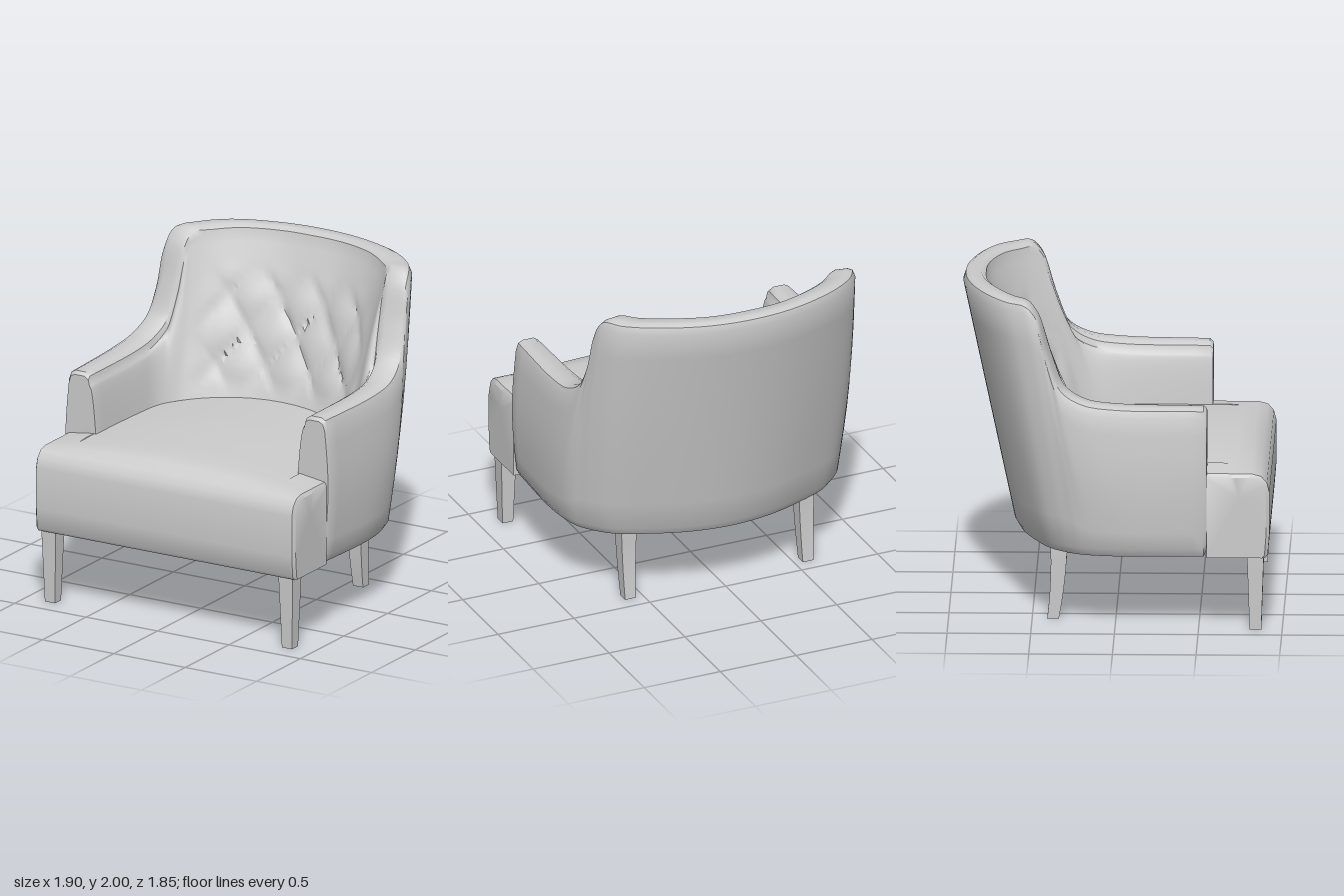
import * as THREE from 'three';
import { toCreasedNormals } from 'three/addons/utils/BufferGeometryUtils.js';

const material = new THREE.MeshStandardMaterial({ color: 0xcccccc, side: THREE.DoubleSide });
const { lerp, smoothstep, clamp } = THREE.MathUtils;

// Skin a list of closed rings of [x, y, z] points and cap both ends
function loft(rings, crease) {
  const n = rings[0].length, pos = rings.flat(2), index = [];
  for (let i = 0; i < rings.length - 1; i++) {
    for (let j = 0; j < n; j++) {
      const a = i * n + j, d = i * n + (j + 1) % n;
      index.push(a, a + n, d, d, a + n, d + n);
    }
  }
  [0, rings.length - 1].forEach((r, end) => {
    const c = pos.length / 3;
    pos.push(...centre(rings[r]));
    for (let j = 0; j < n; j++) {
      const a = r * n + j, b = r * n + (j + 1) % n;
      index.push(c, end ? b : a, end ? a : b);
    }
  });
  const g = new THREE.BufferGeometry();
  g.setAttribute('position', new THREE.Float32BufferAttribute(pos, 3));
  g.setIndex(index);
  return toCreasedNormals(g, crease);
}

function centre(ring) {
  return [0, 1, 2].map(k => ring.reduce((s, p) => s + p[k], 0) / ring.length);
}

// Smooth rail through half-plan points, mirrored to the other side
function rail(points) {
  const half = points.map(([x, z, y = 0]) => new THREE.Vector3(x, y, z));
  const other = half.slice(0, -1).reverse().map(p => new THREE.Vector3(-p.x, p.y, p.z));
  return new THREE.CatmullRomCurve3([...half, ...other]);
}

// Diamond tufting on the inside of the backrest
function tuft(x, y) {
  const a = x / 0.3 + (y - 1.4) / 0.4, b = x / 0.3 - (y - 1.4) / 0.4;
  const pillow = Math.sqrt(Math.abs(Math.sin(Math.PI * a) * Math.sin(Math.PI * b)));
  const mask = smoothstep(y, 1.05, 1.2) * (1 - smoothstep(y, 1.6, 1.8)) *
    (1 - smoothstep(Math.abs(x), 0.42, 0.62));
  return 0.045 * (pillow - 0.6) * mask;
}

// One wraparound shell forms the arms, wings and back
function shellGeometry() {
  // Stations run from the arm front to the middle of the back: [x, z, height]
  const outerTop = rail([[0.905, 0.53, 1.36], [0.925, 0, 1.37], [0.92, -0.2, 1.4], [0.9, -0.33, 1.48],
    [0.87, -0.41, 1.68], [0.855, -0.47, 1.9], [0.835, -0.54, 1.98], [0.77, -0.65, 1.99],
    [0.6, -0.78, 2], [0.3, -0.89, 2], [0, -0.925, 2]]);
  const outerBase = rail([[0.9, 0.53], [0.92, 0.15], [0.915, 0], [0.9, -0.12], [0.88, -0.2],
    [0.85, -0.26], [0.81, -0.32], [0.73, -0.4], [0.55, -0.49], [0.28, -0.585], [0, -0.62]]);
  const innerTop = rail([[0.75, 0.53], [0.745, 0], [0.74, -0.18], [0.72, -0.3], [0.7, -0.38],
    [0.69, -0.45], [0.67, -0.51], [0.58, -0.6], [0.44, -0.69], [0.22, -0.765], [0, -0.78]]);
  const innerBase = rail([[0.7, 0.53], [0.68, 0.1], [0.665, -0.05], [0.64, -0.12], [0.61, -0.17],
    [0.57, -0.21], [0.5, -0.25], [0.42, -0.3], [0.3, -0.345], [0.15, -0.375], [0, -0.385]]);
  const rings = [], samples = 120;
  for (let i = 0; i <= samples; i++) {
    const [ot, ob, it, ib] = [outerTop, outerBase, innerTop, innerBase].map(c => c.getPoint(i / samples));
    const h = ot.y, ring = [];
    const add = (p, q, f, y, dx = 0, dz = 0) =>
      ring.push([lerp(p.x, q.x, f) + dx, y, lerp(p.z, q.z, f) + dz]);
    add(ob, ib, 0.13, 0.45);
    // Outer wall with a slight belly at the sides
    for (let k = 0; k <= 8; k++) {
      const s = k / 8;
      add(ob, ot, s, lerp(0.5, h - 0.06, s), 0.028 * Math.sin(Math.PI * s) * clamp(ob.x * 1.5, -1, 1));
    }
    // Rounded rim
    add(ot, it, 0.1, h - 0.015);
    add(ot, it, 0.28, h);
    add(ot, it, 0.75, h);
    add(ot, it, 0.94, h - 0.02);
    // Inner wall, padded near the arms and sloping at the back
    const power = lerp(0.5, 1, clamp((h - 1.36) / 0.64, 0, 1));
    for (let k = 0; k <= 26; k++) {
      const s = k / 26, y = lerp(h - 0.06, 0.95, s), f = Math.pow(s, power);
      add(it, ib, f, y, 0, h > 1.9 ? tuft(lerp(it.x, ib.x, f), y) : 0);
    }
    add(ob, ib, 0.45, 0.45);
    rings.push(ring);
  }
  // Softened arm fronts
  const soften = ring => {
    const c = centre(ring);
    return ring.map(p => [lerp(p[0], c[0], 0.07), lerp(p[1], c[1], 0.07), p[2] + 0.02]);
  };
  rings.unshift(soften(rings[0]));
  rings.push(soften(rings[rings.length - 1]));
  return loft(rings, 0.7);
}

// T-shaped seat: wide in front of the arms, round at the back
function seatGeometry() {
  const xs = [0, 0.1, 0.2, 0.3, 0.4, 0.5, 0.58, 0.64, 0.68, 0.71, 0.72, 0.721, 0.8, 0.88, 0.895, 0.91];
  const all = [...xs.slice(1).reverse().map(x => -x), ...xs];
  const rings = all.map(x => {
    const ax = Math.abs(x), e = ax > 0.9 ? 0.02 : 0;
    const back = ax > 0.7205 ? 0.55 : 0.1 - 0.52 * Math.sqrt(Math.max(0, 1 - (x / 0.72) ** 2));
    const crown = 0.075 * (1 - (ax / 0.9) ** 2);
    const profile = [[0.9, 0.45], [0.915, 0.47], [0.925, 0.6], [0.925, 0.85], [0.91, 0.91],
      [0.875, 0.95], [0.82, 0.965 + crown * 0.45]].map(([z, y]) => [x, y - (y > 0.8 ? e : 0), z - e]);
    for (let k = 0; k <= 6; k++) {
      const s = k / 6;
      profile.push([x, 0.965 - e + crown * lerp(0.7, 0.95, Math.min(1, s * 2)), lerp(0.72, back, s)]);
    }
    profile.push([x, 0.45, back]);
    return profile;
  });
  return loft(rings, 0.6);
}

// Square tapered leg; bend sweeps the foot backwards
function legGeometry(top, foot, bend) {
  const g = new THREE.BoxGeometry(1, 0.52, 1, 1, 6, 1).translate(0, 0.26, 0);
  const p = g.attributes.position;
  for (let i = 0; i < p.count; i++) {
    const y = p.getY(i), s = Math.min(1, y / 0.45), w = lerp(foot, top, s);
    p.setXYZ(i, p.getX(i) * w, y, p.getZ(i) * w - bend * (1 - s) ** 2);
  }
  return toCreasedNormals(g, 0.5);
}

export function createModel() {
  const chair = new THREE.Group();
  chair.name = 'armchair';
  const add = (name, geometry, x = 0, z = 0) => {
    const mesh = new THREE.Mesh(geometry, material);
    mesh.name = name;
    mesh.position.set(x, 0, z);
    chair.add(mesh);
  };
  add('backAndArms', shellGeometry());
  add('seat', seatGeometry());
  for (const [side, s] of [['left', 1], ['right', -1]]) {
    add(side + 'FrontLeg', legGeometry(0.1, 0.07, 0), s * 0.83, 0.84);
    add(side + 'BackLeg', legGeometry(0.1, 0.07, 0.035), s * 0.585, -0.34);
  }
  return chair;
}
